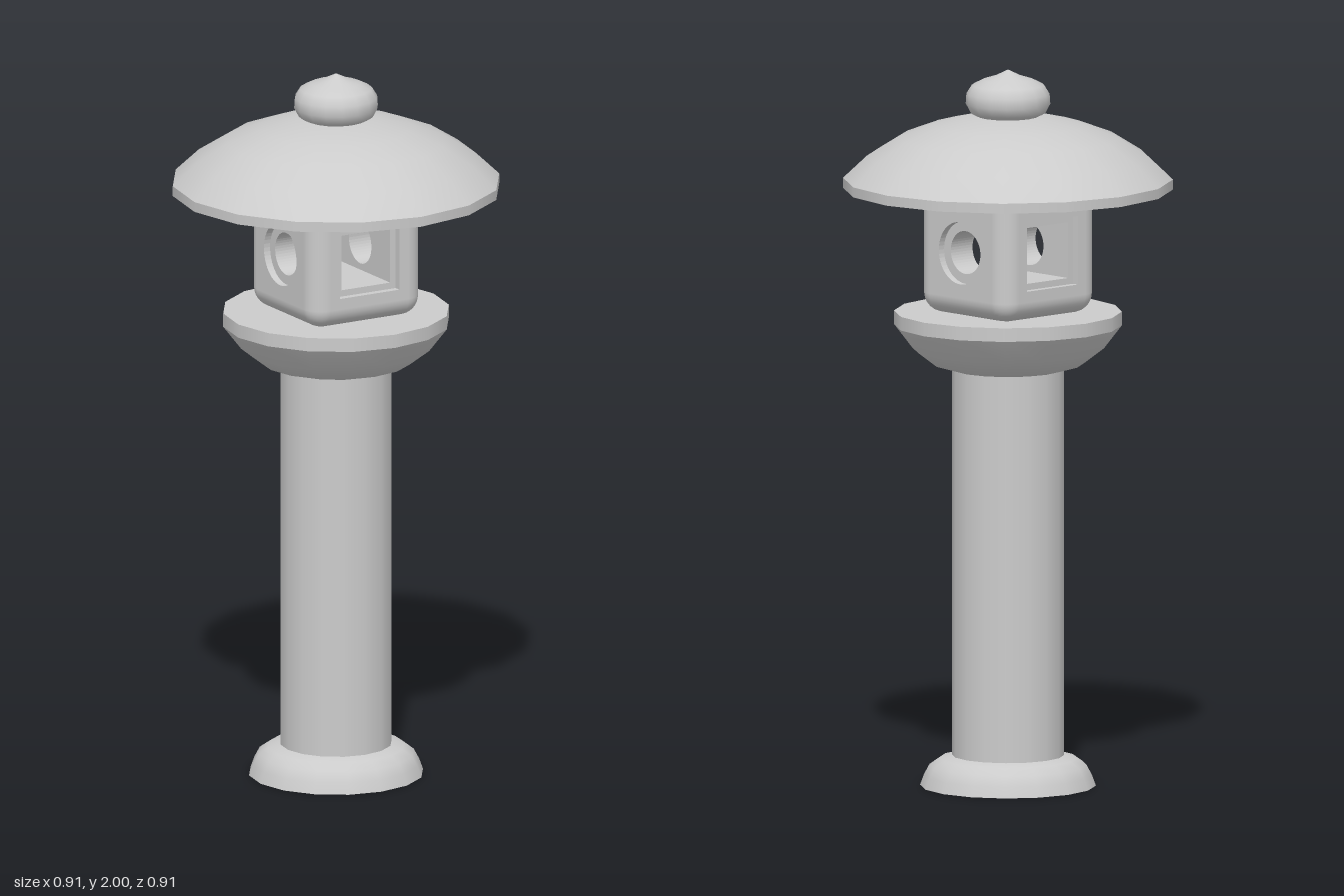
import * as THREE from 'three';
import { mergeGeometries } from 'three/addons/utils/BufferGeometryUtils.js';
import { RoundedBoxGeometry } from 'three/addons/geometries/RoundedBoxGeometry.js';

const material = new THREE.MeshStandardMaterial({ color: 0xcccccc, side: THREE.DoubleSide });

function addMesh(parent, name, geometry, x = 0, y = 0, z = 0) {
  const mesh = new THREE.Mesh(geometry, material);
  mesh.name = name;
  mesh.position.set(x, y, z);
  parent.add(mesh);
  return mesh;
}

// 16-sided turned part; each strip of [radius, height] is smooth, strips meet in sharp edges
function turned(...strips) {
  return mergeGeometries(strips.map(strip =>
    new THREE.LatheGeometry(strip.map(([r, y]) => new THREE.Vector2(r, y)), 16)));
}

// Rectangle of half sizes w, h with a square or round hole
function plate(w, h, hole, round, depth) {
  const rect = (Type, a, b) => new Type().moveTo(-a, -b).lineTo(a, -b).lineTo(a, b).lineTo(-a, b).closePath();
  const shape = rect(THREE.Shape, w, h);
  shape.holes.push(round
    ? new THREE.Path().absarc(0, 0, hole, 0, Math.PI * 2, true)
    : rect(THREE.Path, hole, hole));
  return new THREE.ExtrudeGeometry(shape, { depth, bevelEnabled: false, curveSegments: 24 });
}

// Rounded box without the flat middles of its four upright sides
function openShell(width, height, radius) {
  const source = new RoundedBoxGeometry(width, height, width, 4, radius).toNonIndexed();
  const p = source.attributes.position, n = source.attributes.normal;
  const positions = [], normals = [];
  for (let i = 0; i < p.count; i += 3) {
    const ids = [i, i + 1, i + 2];
    const flat = ['getX', 'getZ'].some(get => ids.every(k => Math.abs(p[get](k)) > width / 2 - 1e-4));
    if (flat) continue;
    for (const k of ids) {
      positions.push(p.getX(k), p.getY(k), p.getZ(k));
      normals.push(n.getX(k), n.getY(k), n.getZ(k));
    }
  }
  const geometry = new THREE.BufferGeometry();
  geometry.setAttribute('position', new THREE.Float32BufferAttribute(positions, 3));
  geometry.setAttribute('normal', new THREE.Float32BufferAttribute(normals, 3));
  return geometry;
}

function createLampHouse() {
  const house = new THREE.Group();
  house.name = 'lampHouse';
  house.position.y = 1.505;
  const half = 0.18, height = 0.363, radius = 0.055, recess = 0.02;
  const flatW = half - radius, flatH = height / 2 - radius;
  const square = 0.078, inner = half - recess;

  addMesh(house, 'houseShell', openShell(half * 2, height, radius));

  for (const s of [1, -1]) {
    // Outer faces with the wide openings of the stepped window frames
    const front = addMesh(house, 'squareWindowFace', plate(flatW, flatH, 0.096, false, recess), 0, 0, s * half);
    front.rotation.y = s > 0 ? Math.PI : 0;
    const side = addMesh(house, 'roundWindowFace', plate(flatW, flatH, 0.087, true, recess), s * half, 0, 0);
    side.rotation.y = -s * Math.PI / 2;

    // Thick inner side walls, pierced by the round windows
    const wall = addMesh(house, 'innerSideWall', plate(inner, flatH, 0.06, true, inner - square), s * inner, 0, 0);
    wall.rotation.y = -s * Math.PI / 2;

    // Floor and ceiling of the square passage
    const thick = flatH - square;
    addMesh(house, s > 0 ? 'innerCeiling' : 'innerFloor',
      new THREE.BoxGeometry(square * 2, thick, inner * 2), 0, s * (square + thick / 2), 0);
  }
  return house;
}

export function createModel() {
  const lantern = new THREE.Group();
  lantern.name = 'stoneLantern';

  // Flared foot, open underneath, and hollow column
  addMesh(lantern, 'foot', turned([[0.243, 0], [0.232, 0.03], [0.217, 0.058], [0.19, 0.077], [0.155, 0.085]]));
  addMesh(lantern, 'column', turned([[0.155, 0.085], [0.155, 1.17]]));

  // Bowl-shaped platform
  addMesh(lantern, 'platform', turned(
    [[0, 1.164], [0.155, 1.164]],
    [[0.155, 1.164], [0.21, 1.18], [0.265, 1.222], [0.315, 1.287]],
    [[0.315, 1.287], [0.315, 1.325]],
    [[0.315, 1.325], [0, 1.325]]));

  lantern.add(createLampHouse());

  // Domed roof with a flat underside and a thin upright rim
  addMesh(lantern, 'roof', turned(
    [[0, 1.667], [0.456, 1.667]],
    [[0.456, 1.667], [0.456, 1.695]],
    [[0.456, 1.695], [0.39, 1.757], [0.305, 1.81], [0.21, 1.846], [0.115, 1.868], [0, 1.875]]));

  // Pointed knob
  addMesh(lantern, 'finial', turned(
    [[0.08, 1.868], [0.104, 1.88], [0.117, 1.905], [0.115, 1.933], [0.1, 1.957],
      [0.07, 1.972], [0.035, 1.983], [0, 2]]));

  return lantern;
}
